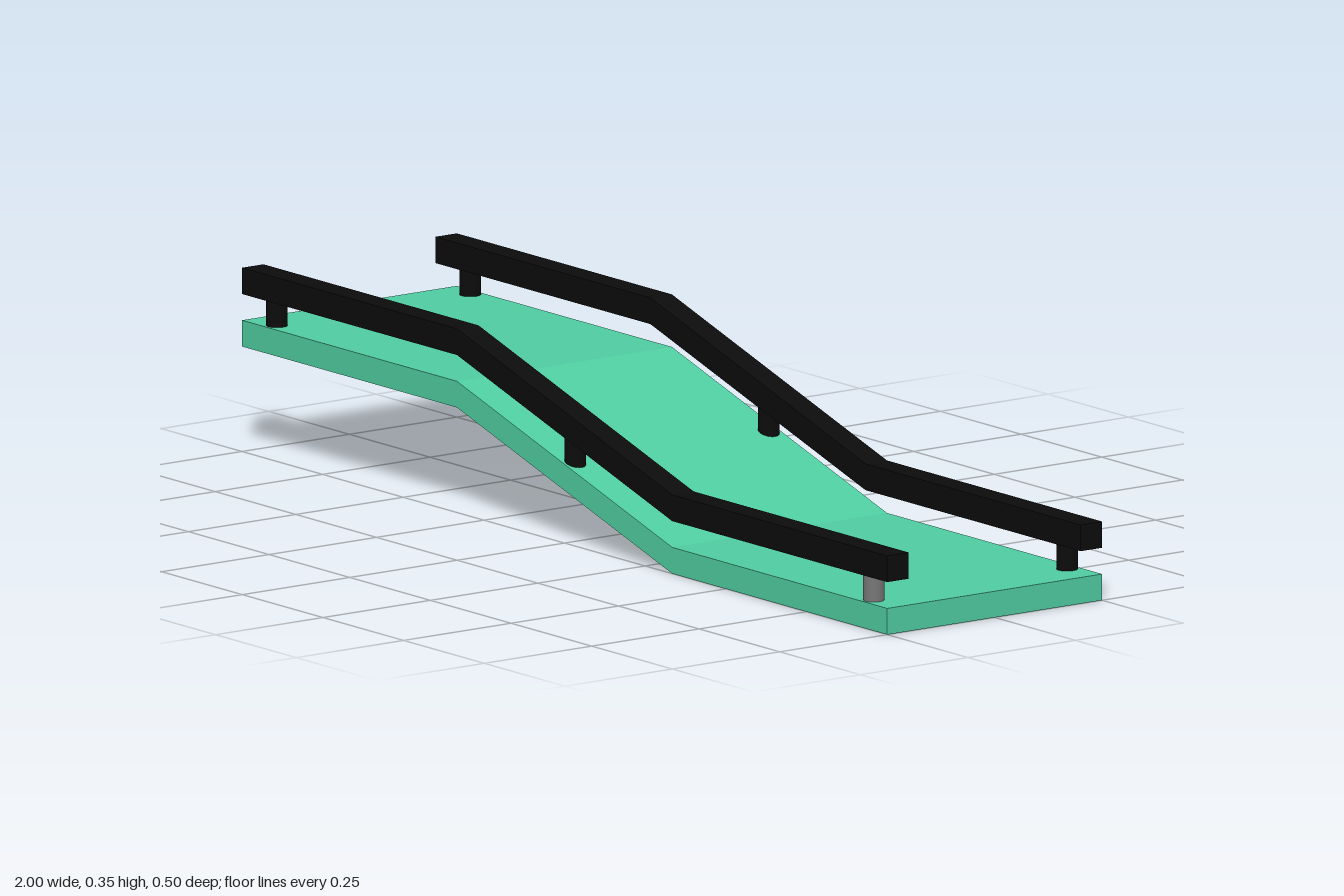
import * as THREE from 'three';

const HALF = 1, BEND = 1 / 3, HIGH = 0.2, THICK = 0.05;
const paint = (color) => new THREE.MeshStandardMaterial({ color });

// Height of the path's underside at x: flat, slope, flat
const pathY = (x) => HIGH * THREE.MathUtils.clamp((BEND - x) / (2 * BEND), 0, 1);

// Bent band following the path, raised by lift, spanning z0..z0 + depth
function band(lift, z0, depth) {
  const xs = [-HALF, -BEND, BEND, HALF];
  const lower = xs.map((x) => new THREE.Vector2(x, pathY(x) + lift));
  const upper = xs.map((x) => new THREE.Vector2(x, pathY(x) + lift + THICK)).reverse();
  return new THREE.ExtrudeGeometry(new THREE.Shape([...lower, ...upper]), {
    depth, bevelEnabled: false,
  }).translate(0, 0, z0);
}

// Give downward faces material 1 and all others material 0
function splitUnderside(geometry) {
  const normal = geometry.attributes.normal;
  geometry.clearGroups();
  for (let i = 0; i < normal.count; i += 3) {
    geometry.addGroup(i, 3, normal.getY(i) < -0.5 ? 1 : 0);
  }
  return geometry;
}

export function createModel() {
  const model = new THREE.Group();
  const green = paint(0x50cda2);
  const black = paint(0x0c0c0c);
  const yellow = paint(0xc8c800);
  const grey = paint(0x777777);

  const add = (name, geometry, material) => {
    const mesh = new THREE.Mesh(geometry, material);
    mesh.name = name;
    model.add(mesh);
  };

  // Deck
  add('deck', band(0, -0.25, 0.5), green);

  for (const side of [1, -1]) {
    const label = side > 0 ? 'front' : 'back';

    // Rail with a yellow underside
    const rail = splitUnderside(band(0.1, side > 0 ? 0.2 : -0.25, 0.05));
    add(`${label}Rail`, rail, [black, yellow]);

    // Round posts; the middle ones run slightly into the slopes
    [-0.925, 0, 0.925].forEach((x, i) => {
      const height = i === 1 ? 0.062 : 0.05;
      const post = new THREE.CylinderGeometry(0.02, 0.02, height, 24);
      post.translate(x, pathY(x) + 0.075, side * 0.225);
      add(`${label}Post${i + 1}`, post, side > 0 && i === 2 ? grey : black);
    });
  }

  return model;
}
